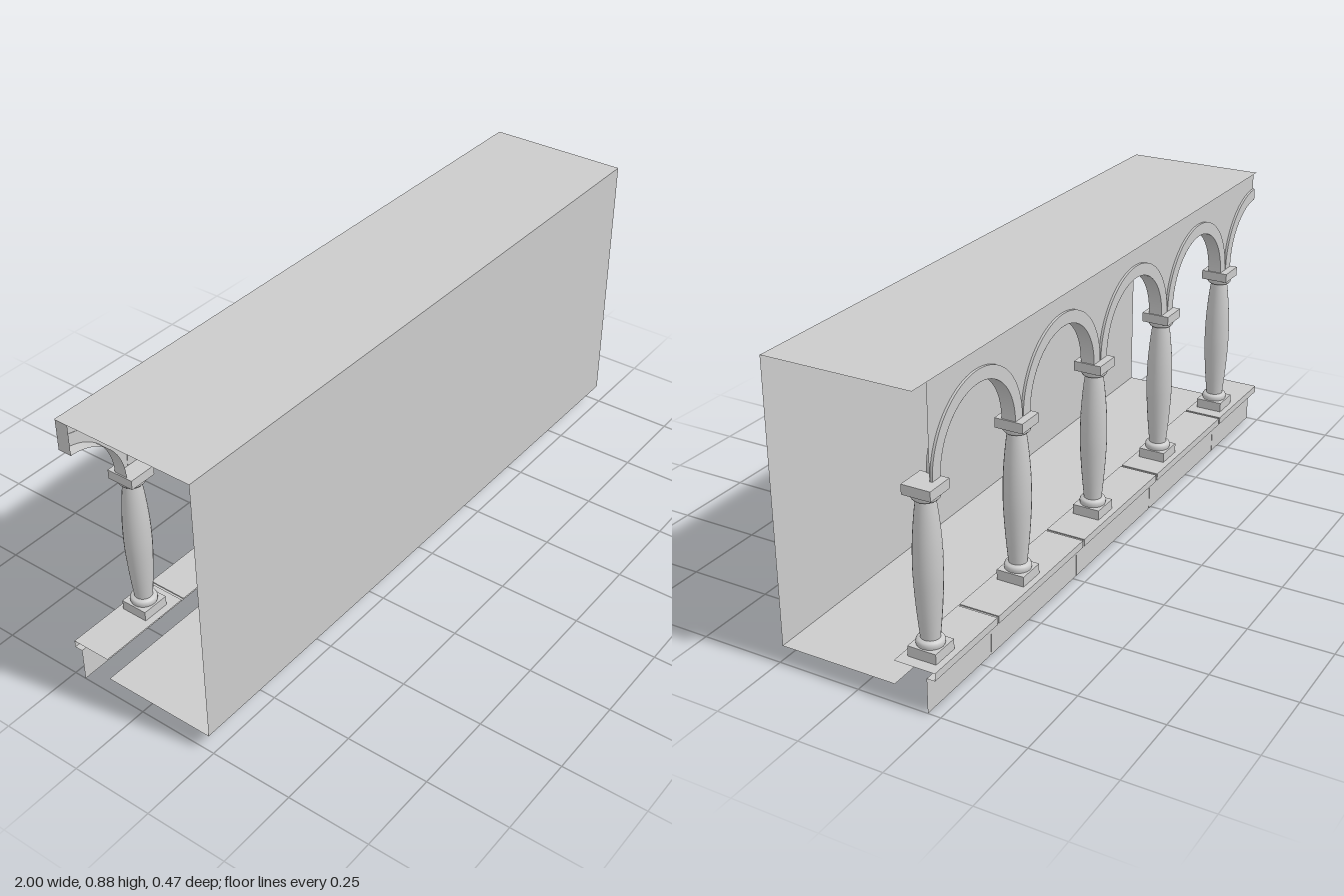
import * as THREE from 'three';

const grey = new THREE.MeshStandardMaterial({ color: 0xcccccc });
const thin = new THREE.MeshStandardMaterial({ color: 0xcccccc, side: THREE.DoubleSide });

const FRONT = 0.237, TOP = 0.875, FLOOR = 0.055;
const SPRING = 0.608, R_IN = 0.176, R_OUT = 0.212, WALL_Z = -0.19;
const PITCH = 0.428, FIRST = -0.786, COL_Z = -0.1775;

function add(parent, name, geometry, material = grey, x = 0, y = 0, z = 0) {
  const mesh = new THREE.Mesh(geometry, material);
  mesh.name = name;
  mesh.position.set(x, y, z);
  parent.add(mesh);
  return mesh;
}

// Column: square plinth and abacus, rounded base and neck, swelling shaft
function makeColumn() {
  const column = new THREE.Group();
  column.name = 'column';
  add(column, 'plinth', new THREE.BoxGeometry(0.084, 0.03, 0.084), grey, 0, 0.141, 0);
  add(column, 'abacus', new THREE.BoxGeometry(0.084, 0.028, 0.084), grey, 0, 0.594, 0);
  const lathe = (pts) => new THREE.LatheGeometry(pts.map(([r, y]) => new THREE.Vector2(r, y)), 24);
  add(column, 'base', lathe([[0.037, 0.156], [0.038, 0.161], [0.038, 0.167], [0.035, 0.173], [0.025, 0.176]]));
  add(column, 'neck', lathe([[0.024, 0.562], [0.033, 0.564], [0.037, 0.569], [0.037, 0.58]]));
  const shaft = new THREE.SplineCurve([[0.026, 0.175], [0.033, 0.25], [0.038, 0.33], [0.039, 0.385],
    [0.037, 0.45], [0.031, 0.52], [0.025, 0.565]].map(([r, y]) => new THREE.Vector2(r, y)));
  add(column, 'shaft', new THREE.LatheGeometry(shaft.getPoints(16), 24));
  return column;
}

// Arch: a soffit strip plus a raised ring on the outer face; sweep is PI or PI / 2
function makeArch(sweep) {
  const arch = new THREE.Group();
  arch.name = 'arch';
  const depth = 0.042;
  const soffit = new THREE.CylinderGeometry(R_IN, R_IN, depth, 24, 1, true, Math.PI / 2, sweep);
  soffit.rotateX(Math.PI / 2);
  add(arch, 'soffit', soffit, thin, 0, 0, -0.155 - depth / 2);
  const ring = new THREE.Shape();
  ring.absarc(0, 0, R_OUT, 0, sweep, false);
  ring.absarc(0, 0, R_IN, sweep, 0, true);
  const trim = new THREE.ExtrudeGeometry(ring, { depth: 0.008, bevelEnabled: false, curveSegments: 24 });
  add(arch, 'archTrim', trim, grey, 0, 0, -0.197);
  return arch;
}

// Ledge and riser: one profile swept along x, sunk slightly at the joints
function makeLedge() {
  const profile = [[-0.115, 0.125], [-0.237, 0.125], [-0.237, 0.103], [-0.212, 0.103], [-0.212, 0]];
  const sunk = [[-0.115, 0.122], [-0.235, 0.122], [-0.235, 0.104], [-0.211, 0.104], [-0.211, 0]];
  const stations = [[-1, profile]];
  for (const x of [-0.7, -0.234, 0.234, 0.7]) {
    stations.push([x - 0.004, profile], [x - 0.004, sunk], [x + 0.004, sunk], [x + 0.004, profile]);
  }
  stations.push([1, profile]);
  const pos = [];
  for (let i = 0; i + 1 < stations.length; i++) {
    const [x0, p] = stations[i], [x1, q] = stations[i + 1];
    for (let j = 0; j + 1 < p.length; j++) {
      const a = [x0, p[j][1], p[j][0]], b = [x1, q[j][1], q[j][0]];
      const c = [x1, q[j + 1][1], q[j + 1][0]], d = [x0, p[j + 1][1], p[j + 1][0]];
      pos.push(...a, ...b, ...c, ...a, ...c, ...d);
    }
  }
  const g = new THREE.BufferGeometry();
  g.setAttribute('position', new THREE.Float32BufferAttribute(pos, 3));
  g.computeVertexNormals();
  return g;
}

export function createModel() {
  const model = new THREE.Group();
  model.name = 'arcadeGallery';

  // Plain enclosing planes
  add(model, 'wall', new THREE.PlaneGeometry(2, TOP - FLOOR), thin, 0, (TOP + FLOOR) / 2, FRONT);
  const roofDepth = FRONT + 0.2, floorDepth = FRONT + 0.115;
  add(model, 'ceiling', new THREE.PlaneGeometry(2, roofDepth).rotateX(-Math.PI / 2), thin, 0, TOP, FRONT - roofDepth / 2);
  add(model, 'floor', new THREE.PlaneGeometry(2, floorDepth).rotateX(-Math.PI / 2), thin, 0, FLOOR, FRONT - floorDepth / 2);

  add(model, 'ledge', makeLedge(), thin);

  // Five columns, each followed by an arch toward -x; the last arch is halved
  const wall = new THREE.Shape();
  const lastX = FIRST + 4 * PITCH;
  wall.moveTo(lastX, TOP);
  wall.lineTo(lastX, SPRING);
  for (let i = 4; i >= 0; i--) {
    const x = FIRST + i * PITCH;
    const column = makeColumn();
    column.position.set(x, 0, COL_Z);
    model.add(column);
    const sweep = i > 0 ? Math.PI : Math.PI / 2;
    const arch = makeArch(sweep);
    arch.position.set(x - PITCH / 2, SPRING, 0);
    model.add(arch);
    wall.absarc(x - PITCH / 2, SPRING, R_IN, 0, sweep, false);
  }
  wall.lineTo(-1, TOP);
  add(model, 'arcadeWall', new THREE.ShapeGeometry(wall, 24), thin, 0, 0, WALL_Z);

  // Closing strip above the cut crown
  const cap = new THREE.PlaneGeometry(0.042, TOP - SPRING - R_IN).rotateY(-Math.PI / 2);
  add(model, 'endStrip', cap, grey, -1, (TOP + SPRING + R_IN) / 2, -0.176);
  return model;
}
